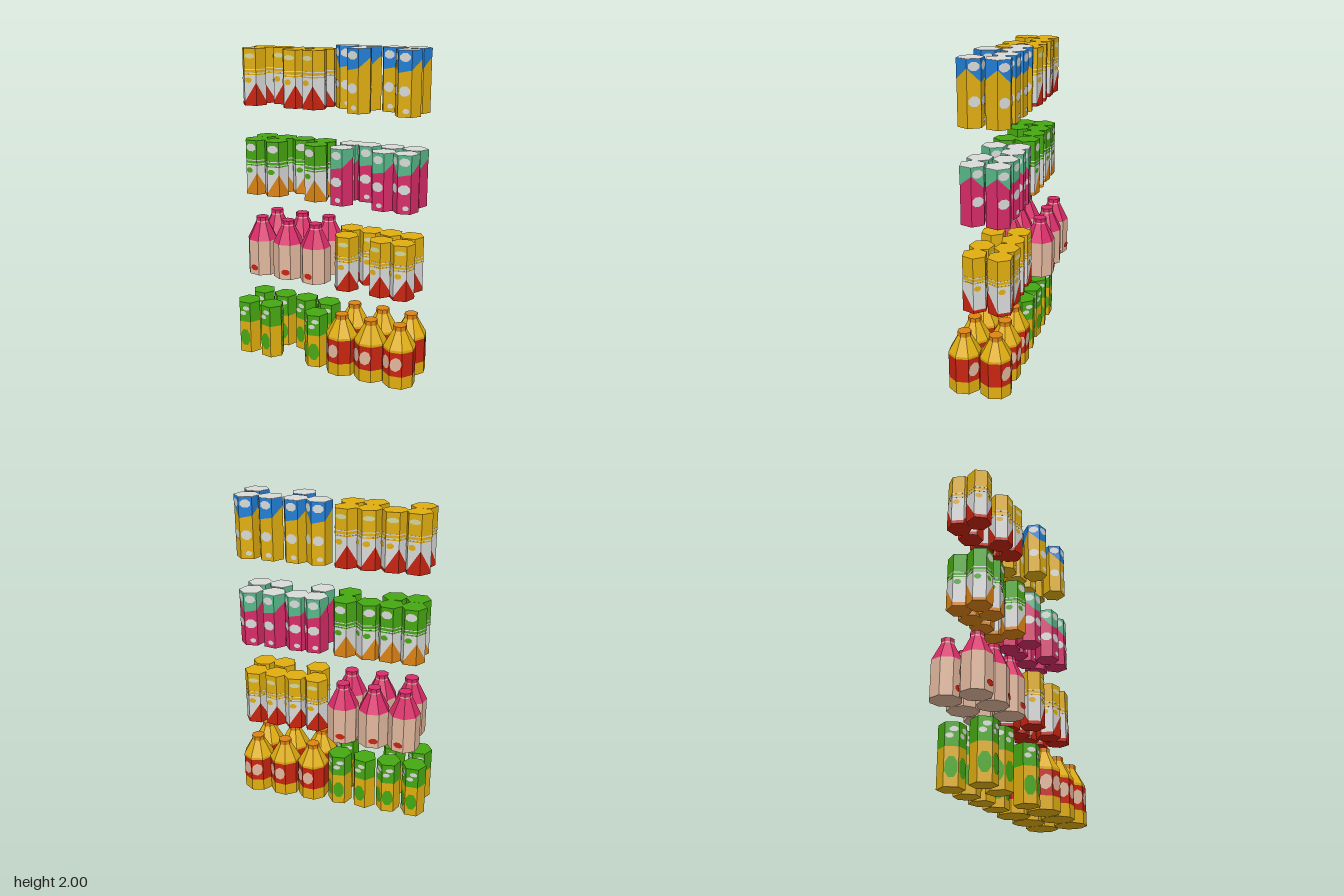
import * as THREE from 'three';

const mat = (name, color) => {
  const m = new THREE.MeshStandardMaterial({ color });
  m.name = name;
  return m;
};
const M = {
  gold: mat('gold', 0xe0ae10), white: mat('white', 0xd8dad8), red: mat('red', 0xc82410),
  green: mat('green', 0x46a812), orange: mat('orange', 0xdc8414), pink: mat('pink', 0xd82c68),
  mint: mat('mint', 0x58b88a), blue: mat('blue', 0x2280d8), peach: mat('peach', 0xe2b89e),
  pale: mat('paleYellow', 0xd2d89c),
};
const CAN_R = 0.077, BOTTLE_R = 0.1;

function add(group, name, geometry, material) {
  const flat = geometry.index ? geometry.toNonIndexed() : geometry;
  flat.computeVertexNormals();
  const mesh = new THREE.Mesh(flat, material);
  mesh.name = name;
  group.add(mesh);
  return mesh;
}

// Faceted ring from y0 to y1, with one flat face turned to +z
function band(group, name, material, sides, y0, y1, r0, r1 = r0) {
  const g = new THREE.CylinderGeometry(r1, r0, y1 - y0, sides, 1, false, -Math.PI / sides);
  return add(group, name, g.translate(0, (y0 + y1) / 2, 0), material);
}

// Flat oval plate on chosen side faces
function patch(group, name, material, sides, r, faces, y, w, h, dx = 0, tilt = 0) {
  const apothem = r * Math.cos(Math.PI / sides);
  for (const f of faces) {
    const g = new THREE.CircleGeometry(1, 8, Math.PI / 8).scale(w / 2, h / 2, 1).rotateZ(tilt);
    g.translate(dx, y, apothem + 0.003).rotateY(f * 2 * Math.PI / sides);
    add(group, name, g, material);
  }
}

// Zigzag printed wrap: low and high edges given at the corners, repeating every three
function wrap(group, name, material, low, high) {
  const v = [], r = CAN_R + 0.0015;
  const at = (i, y) => {
    const a = (i - 0.5) * Math.PI / 3;
    return [r * Math.sin(a), y[i % 3], r * Math.cos(a)];
  };
  for (let i = 0; i < 6; i++) {
    const a = at(i, low), b = at(i + 1, low), c = at(i + 1, high), d = at(i, high);
    v.push(...a, ...b, ...c, ...a, ...c, ...d);
  }
  const g = new THREE.BufferGeometry();
  g.setAttribute('position', new THREE.Float32BufferAttribute(v, 3));
  add(group, name, g, material);
}

const flat3 = y => [y, y, y];
const HEIGHT = 0.345;

// Can with a coloured upper half, white lower half and a zigzag hill
function hillCan(top, hill, spotPatch) {
  return g => {
    band(g, 'lowerBody', M.white, 6, 0, 0.2, CAN_R);
    band(g, 'base', hill, 6, -0.001, 0.004, CAN_R);
    band(g, 'upperBody', top, 6, 0.2, HEIGHT, CAN_R);
    band(g, 'stripe', top, 6, 0.186, 0.193, CAN_R + 0.001);
    band(g, 'stripe', M.white, 6, 0.216, 0.222, CAN_R + 0.001);
    wrap(g, 'hill', hill, flat3(0), [0.02, 0.14, 0.02]);
    patch(g, 'topPatch', spotPatch, 6, CAN_R, [0, 3], 0.3, 0.07, spotPatch === M.pale ? 0.03 : 0.05);
    patch(g, 'spot', top, 6, CAN_R, [0, 3, 5, 2], 0.155, 0.045, 0.035, -0.012);
  };
}

// Can with a zigzag upper wrap, white patches and a white lid
function wrapCan(body, top, height, big) {
  return g => {
    band(g, 'body', body, 6, 0, height - 0.004, CAN_R);
    band(g, 'lid', M.white, 6, height - 0.004, height, CAN_R);
    wrap(g, 'topWrap', top, [height - 0.125, height - 0.11, height - 0.05], flat3(height - 0.002));
    patch(g, 'topPatch', M.white, 6, CAN_R, [0, 2, 3, 5], height - 0.04, 0.066, 0.05);
    patch(g, 'middlePatch', M.white, 6, CAN_R, [0, 2, 3, 5], 0.145, big ? 0.074 : 0.066, 0.06);
    patch(g, 'lowPatch', M.white, 6, CAN_R, [0, 3], 0.035, 0.038, 0.03, 0.01);
  };
}

function ovalCan(g) {
  band(g, 'lowerBody', M.gold, 6, 0, 0.215, CAN_R);
  band(g, 'upperBody', M.green, 6, 0.215, 0.35, CAN_R);
  patch(g, 'oval', M.green, 6, CAN_R, [0, 2, 3, 5], 0.105, 0.074, 0.12);
  patch(g, 'leafPatch', M.white, 6, CAN_R, [0, 2, 3, 5], 0.275, 0.045, 0.03, -0.012);
  patch(g, 'leafPatch', M.white, 6, CAN_R, [0, 2, 3, 5], 0.31, 0.05, 0.03, 0.01);
}

function labelBottle(g) {
  band(g, 'base', M.gold, 8, 0, 0.08, BOTTLE_R);
  band(g, 'label', M.red, 8, 0.08, 0.235, BOTTLE_R);
  band(g, 'collar', M.gold, 8, 0.235, 0.25, BOTTLE_R);
  band(g, 'shoulder', M.gold, 8, 0.25, 0.352, BOTTLE_R, 0.042);
  band(g, 'cap', M.orange, 8, 0.352, 0.38, 0.042);
  patch(g, 'labelPatch', M.peach, 8, BOTTLE_R, [0, 3, 4, 7], 0.16, 0.074, 0.095, 0, -0.3);
}

function plainBottle(g) {
  band(g, 'body', M.peach, 8, 0, 0.23, BOTTLE_R - 0.002);
  band(g, 'shoulder', M.pink, 8, 0.23, 0.342, BOTTLE_R - 0.002, 0.042);
  band(g, 'neckRing', M.peach, 8, 0.342, 0.35, 0.042);
  band(g, 'cap', M.pink, 8, 0.35, 0.375, 0.042);
  patch(g, 'spot', M.red, 8, BOTTLE_R, [0, 4], 0.05, 0.06, 0.04, 0.006);
}

// Each set: name, builder, floor height, then [z, x positions] for every file
const yellowCan = hillCan(M.gold, M.red, M.pale);
const SETS = [
  ['ovalCan', ovalCan, 0, [-0.06, [-0.54, -0.375, -0.215, -0.05]], [0.135, [-0.54, -0.37, -0.047]]],
  ['labelBottle', labelBottle, 0, [-0.045, [0.14, 0.335, 0.525]], [0.15, [0.14, 0.335, 0.525]]],
  ['plainBottle', plainBottle, 0.53, [-0.15, [-0.48, -0.29, -0.095]], [0.045, [-0.48, -0.29, -0.095]]],
  ['yellowCan', yellowCan, 0.53, [-0.07, [0.105, 0.24, 0.37, 0.505]], [0.085, [0.14, 0.37, 0.505]]],
  ['greenCan', hillCan(M.green, M.orange, M.white), 1.07,
    [-0.07, [-0.495, -0.36, -0.23, -0.08]], [0.065, [-0.495, -0.355, -0.075]]],
  ['pinkCan', wrapCan(M.pink, M.mint, 0.345, true), 1.07,
    [-0.065, [0.105, 0.22, 0.37, 0.515]], [0.085, [0.105, 0.375, 0.515]]],
  ['yellowCan', yellowCan, 1.63, [-0.08, [-0.505, -0.37, -0.225, -0.09]], [0.055, [-0.505, -0.225, -0.09]]],
  ['blueCan', wrapCan(M.gold, M.blue, 0.37, false), 1.63,
    [-0.07, [0.076, 0.215, 0.37, 0.515]], [0.085, [0.215, 0.515]]],
];

export function createModel() {
  const model = new THREE.Group();
  model.name = 'drinkRows';
  let count = 0;
  for (const [name, build, y, ...files] of SETS) {
    for (const [z, xs] of files) {
      for (const x of xs) {
        const item = new THREE.Group();
        item.name = name;
        build(item);
        item.position.set(x, y, z);
        // Small uneven turn for each item
        item.rotation.y = 0.22 * Math.sin(count++ * 2.3);
        model.add(item);
      }
    }
  }
  return model;
}
